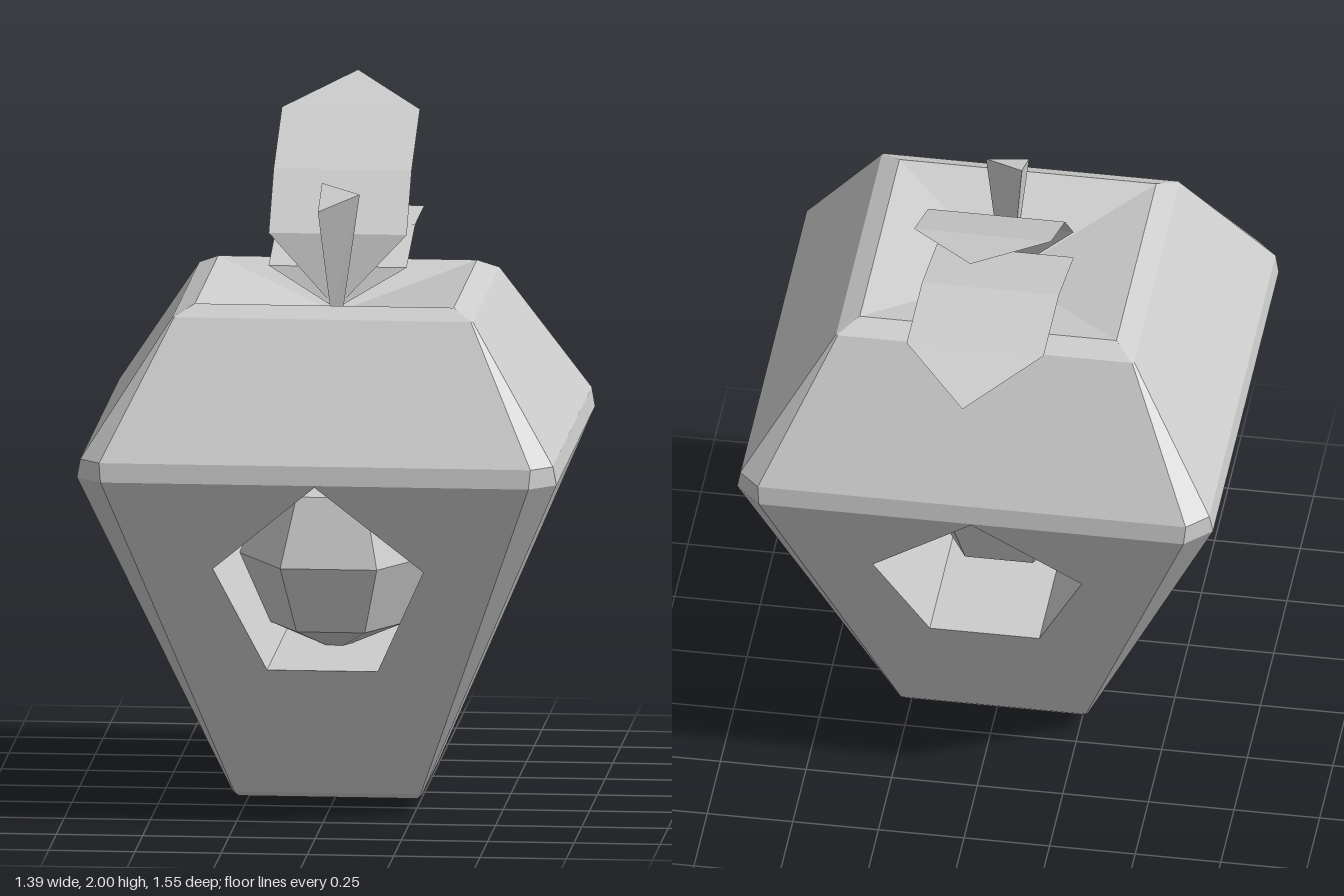
import * as THREE from 'three';

const lightGrey = new THREE.MeshStandardMaterial({ color: 0xcccccc, side: THREE.DoubleSide });
lightGrey.name = 'lightGrey';

// Flat-shaded mesh from polygons, each a list of [x, y, z] corners
function facetMesh(name, polygons) {
  const pos = [];
  for (const p of polygons) {
    for (let i = 1; i < p.length - 1; i++) pos.push(...p[0], ...p[i], ...p[i + 1]);
  }
  const geo = new THREE.BufferGeometry();
  geo.setAttribute('position', new THREE.Float32BufferAttribute(pos, 3));
  geo.computeVertexNormals();
  const mesh = new THREE.Mesh(geo, lightGrey);
  mesh.name = name;
  return mesh;
}

// Square ring with cut corners: height, half width, corner cut
function ring([y, h, c]) {
  const k = h - c;
  return [[-k, h], [k, h], [h, k], [h, -k], [k, -h], [-k, -h], [-h, -k], [-h, k]]
    .map(([x, z]) => [x, y, z]);
}

const LOW = [0.06, 0.275, 0.005], WIDE = [1.04, 0.695, 0.075];
const profile = [
  [0, 0, 0], [0.045, 0.26, 0.005], LOW, WIDE, [1.095, 0.685, 0.06],
  [1.48, 0.435, 0.005], [1.51, 0.375, 0], [1.42, 0, 0],
];
const slopeZ = (y) => LOW[1] + (y - LOW[0]) * (WIDE[1] - LOW[1]) / (WIDE[0] - LOW[0]);
const pentagon = [[0, 1.035], [-0.305, 0.77], [-0.16, 0.45], [0.16, 0.45], [0.305, 0.77]];

function makeBody() {
  const body = new THREE.Group();
  body.name = 'fruitBody';

  // Faceted skin with a dimpled top; the pierced faces are left out here
  const rings = profile.map(ring);
  const faces = [];
  for (let r = 0; r < rings.length - 1; r++) {
    for (let i = 0; i < 8; i++) {
      if (r === 2 && i % 4 === 0) continue;
      const j = (i + 1) % 8;
      faces.push([rings[r][i], rings[r][j], rings[r + 1][j], rings[r + 1][i]]);
    }
  }
  body.add(facetMesh('skin', faces));

  // Sloping front and back faces with the pentagon opening
  const a = LOW[1] - LOW[2], b = WIDE[1] - WIDE[2];
  const shape = new THREE.Shape(
    [[-a, LOW[0]], [a, LOW[0]], [b, WIDE[0]], [-b, WIDE[0]]].map((p) => new THREE.Vector2(...p)));
  shape.holes.push(new THREE.Path(pentagon.map((p) => new THREE.Vector2(...p))));
  const panel = new THREE.ShapeGeometry(shape).toNonIndexed();
  const pos = panel.attributes.position;
  for (let i = 0; i < pos.count; i++) pos.setZ(i, slopeZ(pos.getY(i)));
  panel.computeVertexNormals();
  for (const [name, turn] of [['frontFace', 0], ['backFace', Math.PI]]) {
    const mesh = new THREE.Mesh(panel, lightGrey);
    mesh.name = name;
    mesh.rotation.y = turn;
    body.add(mesh);
  }

  // Tunnel running from front to back
  body.add(facetMesh('tunnel', pentagon.map(([x, y], i) => {
    const [u, v] = pentagon[(i + 1) % 5];
    return [[x, y, slopeZ(y)], [u, v, slopeZ(v)], [u, v, -slopeZ(v)], [x, y, -slopeZ(y)]];
  })));

  // Faceted core inside the tunnel
  const ball = new THREE.SphereGeometry(0.28, 6, 4).toNonIndexed();
  ball.computeVertexNormals();
  const core = new THREE.Mesh(ball, lightGrey);
  core.name = 'core';
  core.position.y = 0.71;
  body.add(core);

  body.position.z = 0.08;
  return body;
}

// Three-sided stem widening to a slanted top
function makeStem() {
  const low = [[-0.012, 1.42, 0.108], [0.02, 1.42, 0.09], [-0.012, 1.42, 0.07]];
  const top = [[-0.04, 1.74, 0.22], [0.075, 1.78, 0.15], [-0.04, 1.8, 0.085]];
  const sides = low.map((p, i) => {
    const j = (i + 1) % 3;
    return [p, low[j], top[j], top[i]];
  });
  return facetMesh('stem', [...sides, top]);
}

// Folded sheet: [y, z] of base point, creases and tip
function makeLeaf(name, path) {
  const w = 0.2, last = path.length - 1;
  const faces = [];
  for (let i = 0; i < last; i++) {
    const [y, z] = path[i], [v, t] = path[i + 1];
    if (i === 0) faces.push([[0, y, z], [w, v, t], [-w, v, t]]);
    else if (i === last - 1) faces.push([[-w, y, z], [w, y, z], [0, v, t]]);
    else faces.push([[-w, y, z], [w, y, z], [w, v, t], [-w, v, t]]);
  }
  return facetMesh(name, faces);
}

export function createModel() {
  const model = new THREE.Group();
  model.name = 'fruit';
  model.add(
    makeBody(),
    makeStem(),
    makeLeaf('upperLeaf', [[1.43, 0.075], [1.64, 0.025], [1.8, -0.135], [1.93, -0.4], [2, -0.63]]),
    makeLeaf('lowerLeaf', [[1.43, 0.075], [1.545, 0.03], [1.62, -0.25], [1.62, -0.54], [1.585, -0.78]]),
  );
  return model;
}
